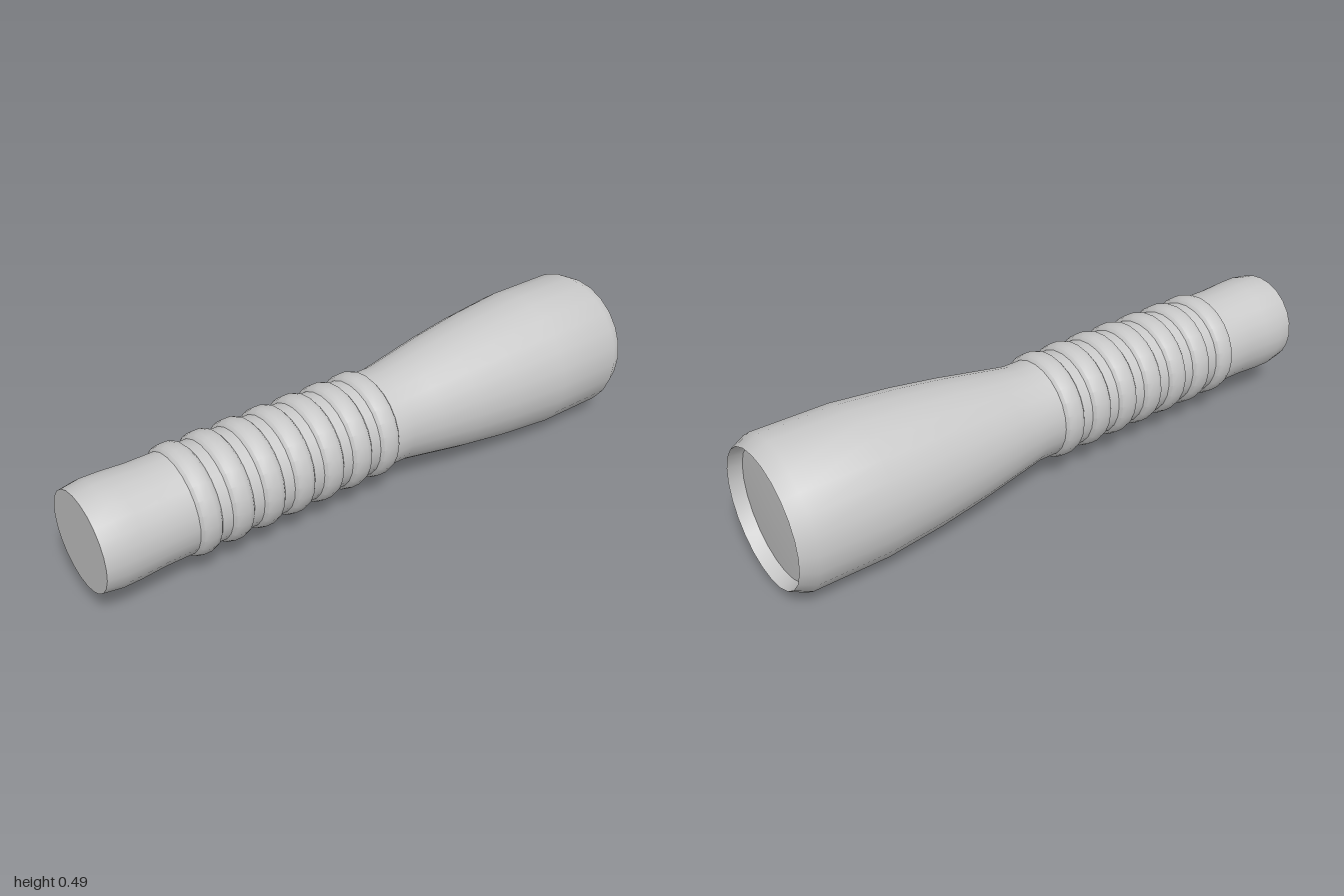
import * as THREE from 'three';
import { toCreasedNormals } from 'three/addons/utils/BufferGeometryUtils.js';

const AXIS_Y = 0.245;
const SIDES = 24;

export function createModel() {
  const model = new THREE.Group();
  model.name = 'flashlight';

  const metal = new THREE.MeshStandardMaterial({ color: 0xc8c8c8 });
  metal.name = 'grey metal';

  function add(name, geometry, crease = 0.6) {
    const mesh = new THREE.Mesh(toCreasedNormals(geometry, crease), metal);
    mesh.name = name;
    model.add(mesh);
    return mesh;
  }

  // Turned part along z; profile is [radius, z] with z running from back to front
  function turned(name, profile) {
    const points = profile.map(([r, z]) => new THREE.Vector2(r, z));
    const geometry = new THREE.LatheGeometry(points, SIDES);
    geometry.rotateX(Math.PI / 2);
    geometry.translate(0, AXIS_Y, 0);
    return add(name, geometry);
  }

  // Slightly domed lens, recessed behind the rim
  turned('lens', [[0, -0.965], [0.212, -0.955]]);

  // Flared head with recess wall and chamfered rim
  turned('head', [
    [0.212, -0.955], [0.22, -1], [0.245, -0.95], [0.245, -0.7], [0.226, -0.5],
    [0.204, -0.34], [0.18, -0.2], [0.163, -0.1], [0.163, -0.03],
  ]);

  // Grip core
  turned('barrel', [[0.163, -0.03], [0.163, 0.7]]);

  // Rounded grip rings
  for (let i = 0; i < 7; i++) {
    const z = 0.005 + i * 0.11;
    turned('gripRing' + (i + 1), [
      [0.162, z - 0.038], [0.173, z - 0.029], [0.178, z - 0.013],
      [0.178, z + 0.013], [0.173, z + 0.029], [0.162, z + 0.038],
    ]);
  }

  // Tail cap, bulging a little before its flat end
  turned('tailCap', [
    [0.163, 0.7], [0.163, 0.8], [0.168, 0.88], [0.169, 0.94], [0.16, 1], [0, 1],
  ]);

  // Small switch under the neck: tapered block with bevelled edges
  const outline = new THREE.Shape([
    new THREE.Vector2(-0.028, 0.055), new THREE.Vector2(0.028, 0.055),
    new THREE.Vector2(0.036, 0.07), new THREE.Vector2(-0.036, 0.07),
  ]);
  const button = new THREE.ExtrudeGeometry(outline, {
    depth: 0.11, bevelEnabled: true, bevelSize: 0.005, bevelThickness: 0.01, bevelSegments: 1,
  });
  button.translate(0, 0, -0.305);
  add('switch', button, 0.4);

  return model;
}
